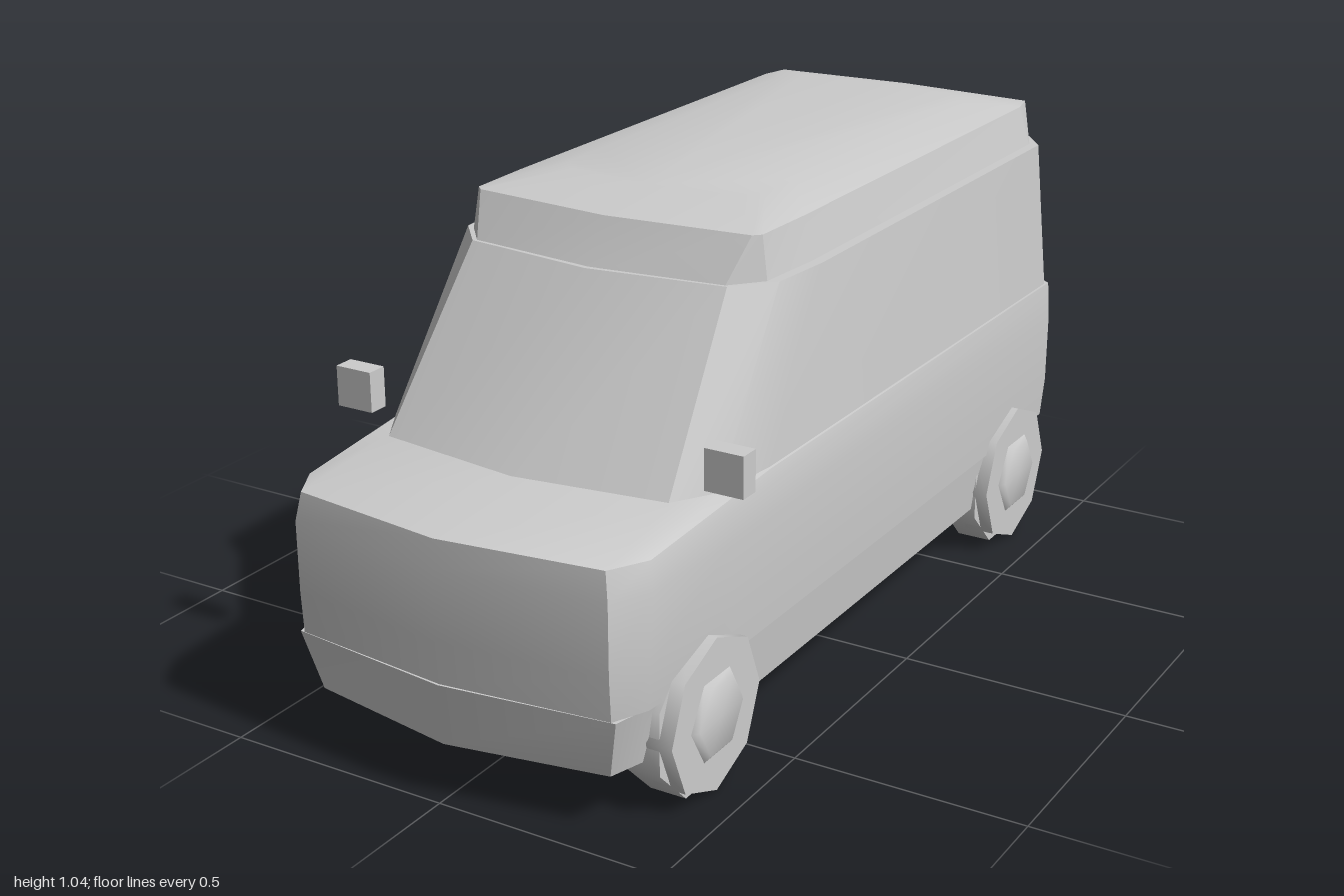
import * as THREE from 'three';
import { toCreasedNormals } from 'three/addons/utils/BufferGeometryUtils.js';

const paint = new THREE.MeshStandardMaterial({ color: 0xcccccc });
paint.name = 'light grey';

// Loft through horizontal rings. Each ring is a height and the left half of
// its plan as [x, z] points from front centre to rear centre, mirrored here.
function loft(name, rings, crease) {
  const pos = [], index = [];
  const plans = rings.map(([y, half]) => {
    const mirrored = half.slice(1, -1).reverse().map(([x, z]) => [-x, z]);
    return [...half, ...mirrored].map(([x, z]) => [x, y, z]);
  });
  const n = plans[0].length;
  plans.forEach((p) => p.forEach((v) => pos.push(...v)));
  for (let r = 0; r < rings.length - 1; r++) {
    for (let i = 0; i < n; i++) {
      const a = r * n + i, b = r * n + ((i + 1) % n);
      index.push(a, b, b + n, a, b + n, a + n);
    }
  }
  // flat floor and top
  const top = (rings.length - 1) * n;
  for (let i = 1; i < n - 1; i++) {
    index.push(0, i + 1, i, top, top + i, top + i + 1);
  }
  const geo = new THREE.BufferGeometry();
  geo.setAttribute('position', new THREE.Float32BufferAttribute(pos, 3));
  geo.setIndex(index);
  const mesh = new THREE.Mesh(toCreasedNormals(geo, crease), paint);
  mesh.name = name;
  return mesh;
}

// Faceted disc lying across the car, from x0 to x1
function disc(name, r0, r1, x0, x1, sides, turn) {
  const geo = new THREE.CylinderGeometry(r1, r0, x1 - x0, sides);
  geo.rotateY(turn);
  geo.rotateZ(-Math.PI / 2);
  geo.translate((x0 + x1) / 2, 0, 0);
  const mesh = new THREE.Mesh(toCreasedNormals(geo, 0.9), paint);
  mesh.name = name;
  return mesh;
}

function wheel(name, side, z) {
  const g = new THREE.Group();
  g.name = name;
  g.add(
    disc('innerTyre', 0.172, 0.172, 0.32, 0.4, 8, Math.PI / 8),
    disc('outerTyre', 0.164, 0.164, 0.36, 0.43, 8, 0),
    disc('hub', 0.095, 0.08, 0.43, 0.441, 6, 0)
  );
  g.position.set(0, 0.165, z);
  if (side < 0) g.rotation.y = Math.PI;
  return g;
}

export function createModel() {
  const van = new THREE.Group();
  van.name = 'van';

  // Bumper and sill band
  van.add(loft('bumperAndSills', [
    [0.12, [[0, 0.98], [0.34, 0.92], [0.37, 0.82], [0.39, 0.6], [0.39, -0.85], [0.31, -0.92], [0, -0.95]]],
    [0.25, [[0, 0.99], [0.37, 0.945], [0.385, 0.88], [0.405, 0.6], [0.405, -0.88], [0.33, -0.97], [0, -0.995]]],
  ], 0.6));

  // Lower body with nose and bonnet
  van.add(loft('lowerBody', [
    [0.25, [[0, 0.985], [0.36, 0.945], [0.395, 0.87], [0.41, 0.6], [0.41, -0.9], [0.33, -0.98], [0, -1]]],
    [0.34, [[0, 0.99], [0.36, 0.95], [0.405, 0.88], [0.415, 0.6], [0.415, -0.91], [0.33, -0.98], [0, -1]]],
    [0.49, [[0, 0.99], [0.36, 0.95], [0.405, 0.87], [0.416, 0.6], [0.416, -0.91], [0.33, -0.98], [0, -1]]],
    [0.55, [[0, 0.985], [0.35, 0.94], [0.395, 0.86], [0.413, 0.6], [0.413, -0.91], [0.33, -0.98], [0, -0.995]]],
    [0.585, [[0, 0.745], [0.335, 0.7], [0.385, 0.6], [0.41, 0.45], [0.41, -0.91], [0.33, -0.97], [0, -0.99]]],
  ], 0.6));

  // Windscreen, side windows and rear window
  van.add(loft('cabin', [
    [0.575, [[0, 0.745], [0.33, 0.7], [0.385, 0.61], [0.405, 0.45], [0.405, -0.9], [0.33, -0.97], [0, -0.99]]],
    [0.93, [[0, 0.47], [0.3, 0.43], [0.37, 0.35], [0.383, 0.2], [0.383, -0.87], [0.33, -0.94], [0, -0.965]]],
  ], 0.6));

  // Raised roof with a bevelled top
  van.add(loft('roof', [
    [0.92, [[0, 0.465], [0.29, 0.43], [0.35, 0.36], [0.362, 0.2], [0.362, -0.87], [0.33, -0.935], [0, -0.96]]],
    [1.02, [[0, 0.4], [0.32, 0.37], [0.335, 0.355], [0.34, 0.2], [0.34, -0.85], [0.325, -0.915], [0, -0.935]]],
    [1.045, [[0, 0.24], [0.2, 0.215], [0.235, 0.17], [0.24, 0.05], [0.24, -0.72], [0.2, -0.79], [0, -0.81]]],
  ], 0.35));

  // Wheels and door mirrors
  for (const side of [1, -1]) {
    const label = side > 0 ? 'left' : 'right';
    van.add(wheel(label + 'FrontWheel', side, 0.685));
    van.add(wheel(label + 'RearWheel', side, -0.715));
    const mirror = new THREE.Mesh(new THREE.BoxGeometry(0.085, 0.086, 0.045), paint);
    mirror.name = label + 'Mirror';
    mirror.position.set(side * 0.433, 0.657, 0.645);
    van.add(mirror);
  }
  return van;
}
